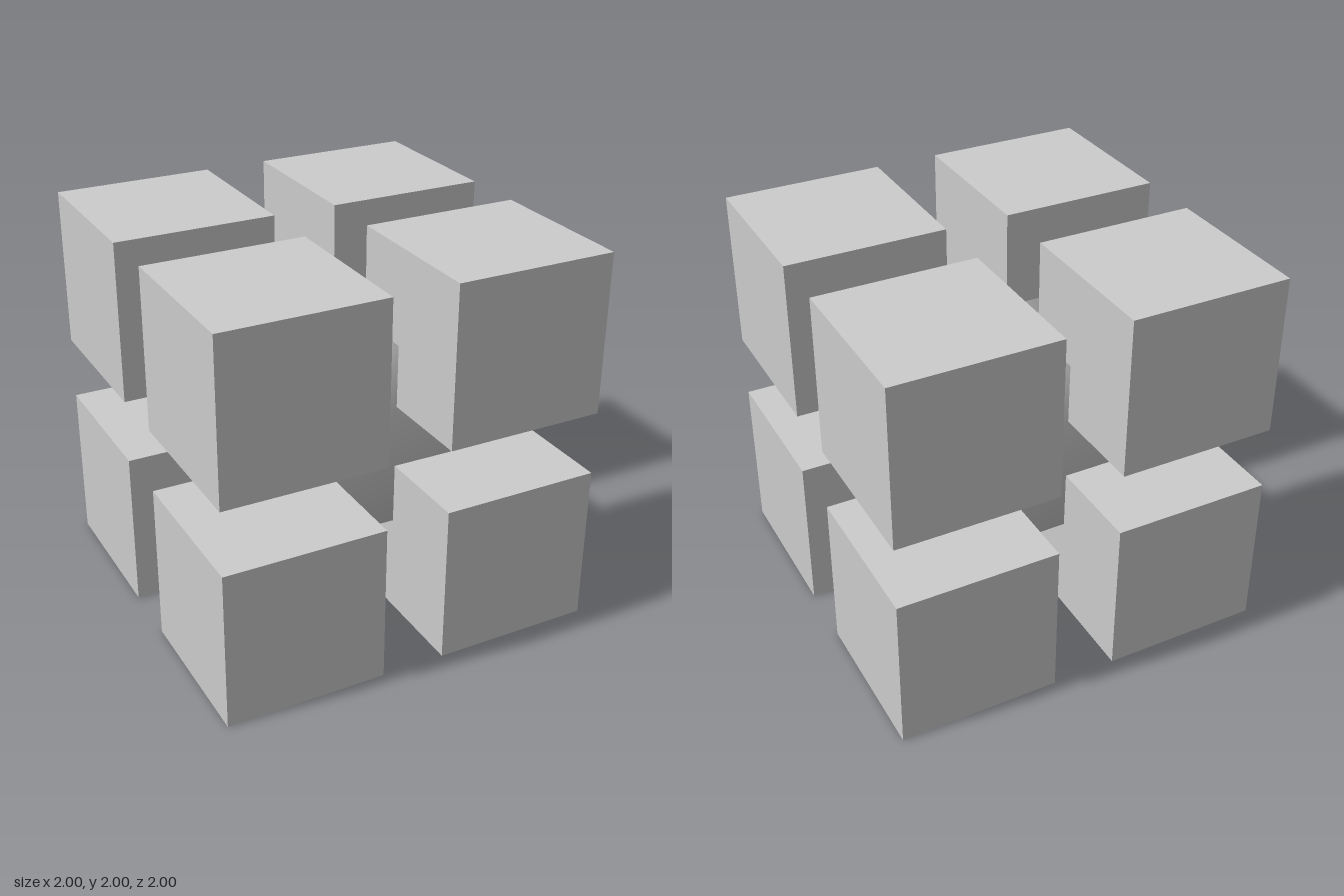
import * as THREE from 'three';
import { mergeVertices } from 'three/addons/utils/BufferGeometryUtils.js';

const SIZE = 0.833; // edge of a corner cube
const OFFSET = 1 - SIZE / 2; // cube centre from the model's centre

// Slightly uneven cube with shared corners, so its shading is smooth
function coreGeometry() {
  const box = new THREE.BoxGeometry(2, 2, 2);
  box.deleteAttribute('normal');
  box.deleteAttribute('uv');
  const geometry = mergeVertices(box);
  const p = geometry.attributes.position;
  for (let i = 0; i < p.count; i++) {
    const x = p.getX(i), y = p.getY(i), z = p.getZ(i);
    const half = 0.487 + 0.004 * (x + y + z);
    p.setXYZ(i, x * half, y * half, z * half);
  }
  geometry.computeVertexNormals();
  return geometry;
}

export function createModel() {
  const model = new THREE.Group();
  model.name = 'cubeCluster';
  const material = new THREE.MeshStandardMaterial({ color: 0xcccccc });

  // Central core joining the corners
  const core = new THREE.Mesh(coreGeometry(), material);
  core.name = 'core';
  core.position.y = 1;
  model.add(core);

  // Eight corner cubes
  const cubeGeometry = new THREE.BoxGeometry(SIZE, SIZE, SIZE);
  for (const x of [-1, 1]) for (const y of [-1, 1]) for (const z of [-1, 1]) {
    const cube = new THREE.Mesh(cubeGeometry, material);
    cube.name = `${y > 0 ? 'upper' : 'lower'}${z > 0 ? 'Front' : 'Back'}${x > 0 ? 'Left' : 'Right'}Cube`;
    cube.position.set(x * OFFSET, 1 + y * OFFSET, z * OFFSET);
    model.add(cube);
  }
  return model;
}
